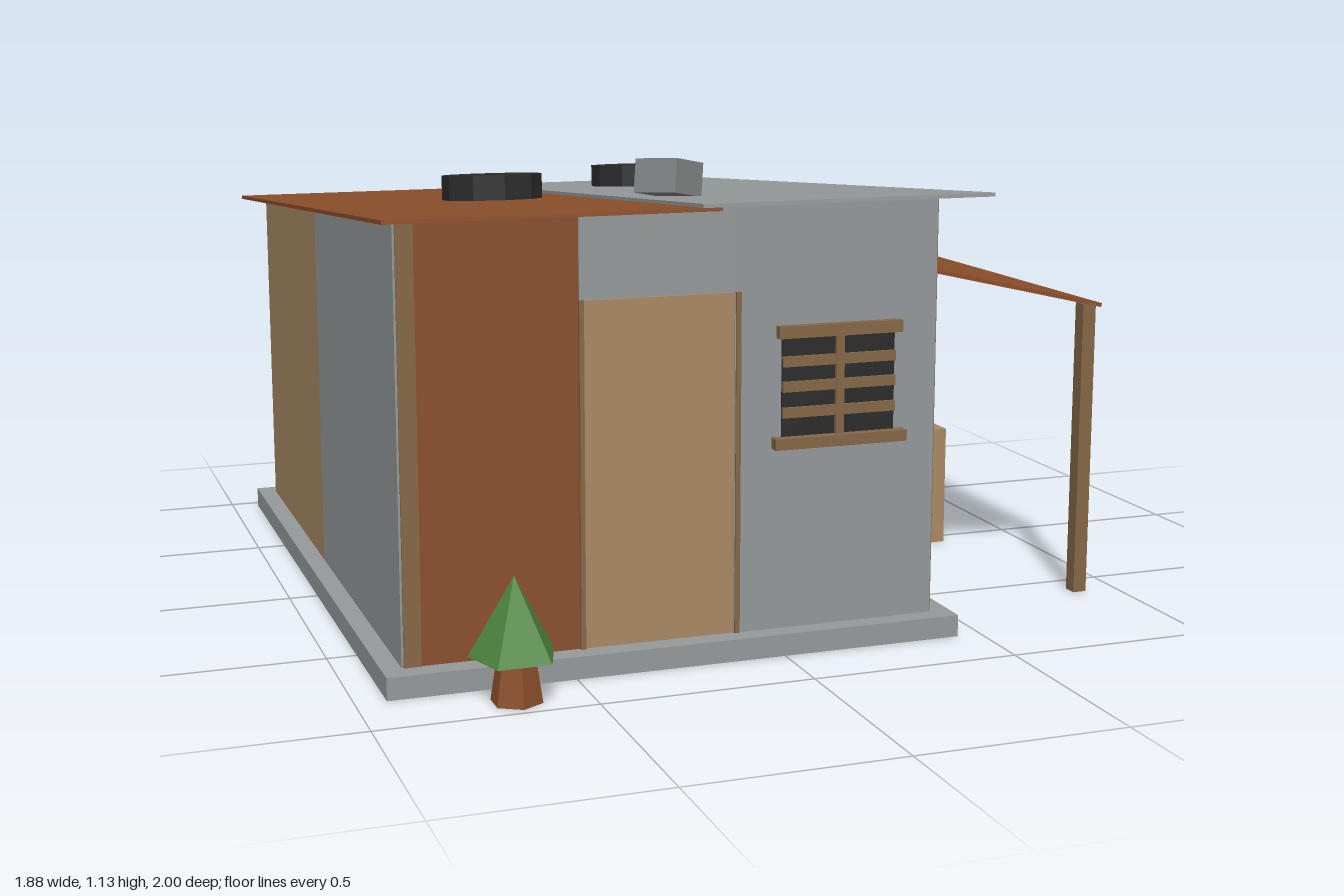
import * as THREE from 'three';

const mat = (name, color) => {
  const m = new THREE.MeshStandardMaterial({ color });
  m.name = name;
  m.flatShading = true;
  return m;
};

// Roof surface height at depth z, and the underside of the sheets
const SLOPE = 0.0758;
const roofTop = (z) => 0.917 + SLOPE * (z + 1);
const roofUnder = (z) => roofTop(z) - 0.014;

export function createModel() {
  const rust = mat('rust', 0x8b4f2b);
  const grey = mat('sheet grey', 0x95999b);
  const concrete = mat('concrete', 0x969a9b);
  const tan = mat('plywood tan', 0xa98a64);
  const wood = mat('wood', 0x866847);
  const dark = mat('dark rubber', 0x2c2c2d);
  const blue = mat('barrel blue', 0x315596);
  const green = mat('leaf green', 0x4f8540);
  const block = mat('block grey', 0x858788);

  const model = new THREE.Group();
  model.name = 'shack';

  const add = (name, geometry, material, x = 0, y = 0, z = 0) => {
    const mesh = new THREE.Mesh(geometry, material);
    mesh.name = name;
    mesh.position.set(x, y, z);
    model.add(mesh);
    return mesh;
  };
  // Box given by its lower and upper limits
  const box = (name, material, x0, x1, y0, y1, z0, z1) =>
    add(name, new THREE.BoxGeometry(x1 - x0, y1 - y0, z1 - z0), material,
      (x0 + x1) / 2, (y0 + y1) / 2, (z0 + z1) / 2);
  // Upright panel whose top follows the roof slope
  const sloped = (name, material, x0, x1, z0, z1, y0 = 0.05) => {
    const shape = new THREE.Shape([
      new THREE.Vector2(z0, y0), new THREE.Vector2(z1, y0),
      new THREE.Vector2(z1, roofUnder(z1)), new THREE.Vector2(z0, roofUnder(z0))]);
    const g = new THREE.ExtrudeGeometry(shape, { depth: x1 - x0, bevelEnabled: false });
    g.rotateY(-Math.PI / 2);
    return add(name, g, material, x1, 0, 0);
  };

  // Floor slab
  box('slab', concrete, -0.93, 0.44, 0, 0.052, -0.965, 0.83);

  // Corner posts
  sloped('cornerPost', wood, -0.88, -0.84, 0.74, 0.78);
  sloped('cornerPost', wood, 0.35, 0.391, 0.738, 0.778);
  sloped('cornerPost', wood, 0.355, 0.391, -0.915, -0.88);

  // Front wall
  sloped('frontRustPanel', rust, -0.842, -0.475, 0.75, 0.776);
  sloped('frontGreyPanel', grey, -0.11, 0.388, 0.75, 0.781);
  sloped('frontGreyLintelPanel', grey, -0.475, -0.11, 0.75, 0.781, 0.845);

  // Right wall
  sloped('rightGreyPanel', grey, 0.36, 0.387, 0.1, 0.739);
  sloped('rightTanPanel', tan, 0.36, 0.387, -0.455, 0.1);
  sloped('rightRustPanel', rust, 0.36, 0.387, -0.88, -0.455);

  // Left wall
  sloped('leftTanPanel', tan, -0.885, -0.865, -0.912, -0.14);
  sloped('leftGreyPanel', grey, -0.885, -0.865, -0.14, 0.776);

  // Back wall
  sloped('backRustPanel', rust, -0.884, -0.21, -0.915, -0.89);
  sloped('backGreyPanel', grey, -0.21, 0.356, -0.914, -0.89);

  // Door with thin jambs
  box('door', tan, -0.465, -0.108, 0.052, 0.843, 0.75, 0.778);
  box('doorJamb', wood, -0.476, -0.465, 0.052, 0.845, 0.75, 0.785);
  box('doorJamb', wood, -0.108, -0.096, 0.052, 0.845, 0.75, 0.785);

  // Window
  box('windowPane', dark, 0.003, 0.282, 0.5, 0.74, 0.78, 0.786);
  box('windowLintel', wood, -0.01, 0.295, 0.735, 0.763, 0.778, 0.803);
  box('windowSill', wood, -0.02, 0.306, 0.48, 0.506, 0.778, 0.81);
  box('windowBarUpright', wood, 0.133, 0.153, 0.5, 0.74, 0.78, 0.796);
  for (const y of [0.562, 0.622, 0.68])
    box('windowBar', wood, 0.003, 0.282, y - 0.012, y + 0.012, 0.78, 0.794);

  // Two overlapping roof sheets
  const tilt = -Math.atan(SLOPE);
  const roofSheet = (name, material, x0, x1, drop) => {
    const z = -0.031;
    const g = new THREE.BoxGeometry(x1 - x0, 0.009, 1.943);
    add(name, g, material, (x0 + x1) / 2, roofTop(z) - 0.0045 - drop, z).rotation.x = tilt;
  };
  roofSheet('roofSheetRust', rust, -0.94, -0.2, 0.008);
  roofSheet('roofSheetGrey', grey, -0.245, 0.45, 0);

  // Tyres and block weighing the roof down
  for (const [x, z] of [[-0.497, 0.133], [0.07, -0.457]])
    add('roofTyre', new THREE.CylinderGeometry(0.122, 0.122, 0.06, 10), dark,
      x, roofTop(z) + 0.028, z).rotation.x = tilt;
  add('roofBlock', new THREE.BoxGeometry(0.105, 0.08, 0.12), block, -0.158, 1.073, 0.468)
    .rotation.set(-0.06, 0.6, -0.18, 'YXZ');

  // Side awning on two posts
  add('awning', new THREE.BoxGeometry(0.56, 0.01, 1.263), rust, 0.6625, 0.796, -0.033)
    .rotation.z = Math.atan2(-0.127, 0.545);
  for (const z of [0.585, -0.638])
    box('awningPost', wood, 0.881, 0.916, 0, 0.738, z - 0.0185, z + 0.0185);

  // Planks leaning on the right wall
  const plank = (xb, xt, yt, z, width, yaw) => {
    const g = new THREE.BoxGeometry(0.016, Math.hypot(xb - xt, yt), width);
    add('leaningPlank', g, wood, (xb + xt) / 2, yt / 2 + 0.008, z)
      .rotation.set(yaw, 0, Math.atan2(xb - xt, yt));
  };
  plank(0.552, 0.405, 0.78, 0.311, 0.097, 0);
  plank(0.54, 0.403, 0.74, 0.16, 0.078, 0.01);

  // Crate with a small tyre on top
  box('crate', tan, 0.537, 0.79, 0, 0.317, -0.277, 0.056);
  add('smallTyre', new THREE.CylinderGeometry(0.068, 0.068, 0.076, 10), dark, 0.64, 0.354, -0.113);

  // Water barrel with a raised lid
  add('barrel', new THREE.CylinderGeometry(0.1245, 0.1245, 0.372, 10), blue, 0.62, 0.186, -0.473);
  add('barrelLid', new THREE.CylinderGeometry(0.09, 0.09, 0.012, 10), [blue, grey, blue], 0.62, 0.378, -0.473);

  // Small tree by the front wall
  add('treeTrunk', new THREE.CylinderGeometry(0.043, 0.059, 0.105, 6), rust, -0.665, 0.0525, 0.922);
  add('treeCrown', new THREE.ConeGeometry(0.102, 0.18, 5, 1, false, Math.PI), green, -0.667, 0.19, 0.918);

  return model;
}
